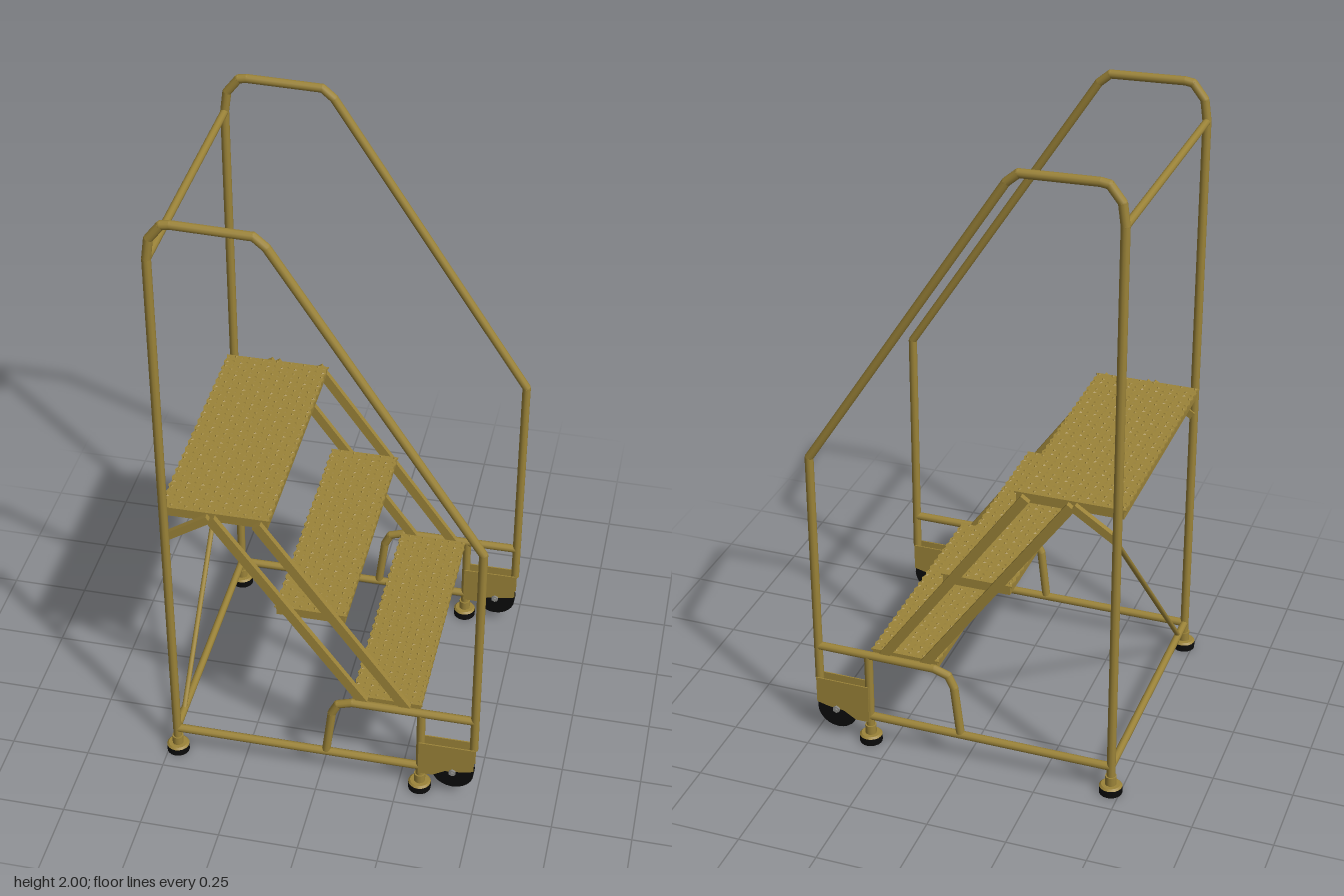
import * as THREE from 'three';
import { mergeGeometries } from 'three/addons/utils/BufferGeometryUtils.js';

const material = (name, color, side = THREE.FrontSide) => {
  const m = new THREE.MeshStandardMaterial({ color, side });
  m.name = name;
  return m;
};

export function createModel() {
  const paint = material('ochre paint', 0x9c8439);
  const rubber = material('black rubber', 0x0b0b0b);
  const steel = material('grey steel', 0x8c8c88);
  const model = new THREE.Group();
  model.name = 'rollingStairs';
  const SIDE = 0.416, R = 0.0135;
  const V = (p) => new THREE.Vector3(...p);

  const add = (parent, name, geo, mat, x = 0, y = 0, z = 0) => {
    const mesh = new THREE.Mesh(geo, mat);
    mesh.name = name;
    mesh.position.set(x, y, z);
    parent.add(mesh);
    return mesh;
  };

  // Round pipe through a list of points, with ball joints at the bends
  const pipe = (parent, name, points, r = R) => {
    const pts = points.map(V), parts = [];
    for (let i = 0; i < pts.length - 1; i++) {
      const d = pts[i + 1].clone().sub(pts[i]);
      const g = new THREE.CylinderGeometry(r, r, d.length(), 10);
      g.applyQuaternion(new THREE.Quaternion().setFromUnitVectors(
        new THREE.Vector3(0, 1, 0), d.clone().normalize()));
      g.translate(...pts[i].clone().add(pts[i + 1]).multiplyScalar(0.5).toArray());
      parts.push(g);
      if (i > 0) parts.push(new THREE.SphereGeometry(r, 10, 6).translate(...pts[i].toArray()));
    }
    return add(parent, name, mergeGeometries(parts), paint);
  };

  // Flat bar between two points in the x-y plane
  const bar = (parent, name, a, b, z, height) => {
    const dx = b[0] - a[0], dy = b[1] - a[1];
    const mesh = add(parent, name, new THREE.BoxGeometry(Math.hypot(dx, dy), height, 0.018),
      paint, (a[0] + b[0]) / 2, (a[1] + b[1]) / 2, z);
    mesh.rotation.z = Math.atan2(dy, dx);
  };

  // Grip tread: serrated top plate, raised teeth and a folded skirt
  const tread = (name, x0, x1, top) => {
    const g = new THREE.Group();
    g.name = name;
    const half = 0.397, n = 44, step = 2 * half / n, h = 0.028;
    const shape = new THREE.Shape();
    shape.moveTo(x0, -half);
    for (let i = 1; i <= n; i++) shape.lineTo(x0 + (i % 2 ? 0.006 : 0), -half + i * step);
    for (let i = n; i >= 0; i--) shape.lineTo(x1 - (i % 2 ? 0.006 : 0), -half + i * step);
    const plate = new THREE.ExtrudeGeometry(shape, { depth: 0.005, bevelEnabled: false });
    plate.rotateX(-Math.PI / 2);
    add(g, 'treadPlate', plate, paint, 0, top - 0.008, 0);

    const teeth = [];
    const cols = Math.round((x1 - x0) / 0.022), rows = 34;
    for (let i = 0; i < cols; i++) for (let j = 0; j < rows; j++) {
      const cone = new THREE.ConeGeometry(0.0065, 0.004, 3, 1, true).toNonIndexed();
      cone.computeVertexNormals();
      cone.rotateY((i % 2 ? 0 : Math.PI) + (j % 3) * 0.5);
      cone.translate(x0 + (i + 0.5) * (x1 - x0) / cols, top - 0.001,
        -half + (j + (i % 2 ? 0.35 : 0.65)) * 2 * half / rows);
      teeth.push(cone);
    }
    add(g, 'gripTeeth', mergeGeometries(teeth), paint);

    const mid = (x0 + x1) / 2, y = top - 0.005 - h / 2;
    for (const x of [x0 + 0.01, x1 - 0.01])
      add(g, 'treadSkirt', new THREE.BoxGeometry(0.008, h, 2 * half), paint, x, y, 0);
    for (const s of [-1, 1])
      add(g, 'treadEnd', new THREE.BoxGeometry(x1 - x0 - 0.012, h, 0.008), paint,
        mid, y, s * (half - 0.004));
    model.add(g);
  };
  tread('topPlatform', -0.49, -0.152, 0.99);
  tread('middleStep', -0.145, 0.08, 0.66);
  tread('bottomStep', 0.092, 0.317, 0.337);

  // Caster bracket outline
  const bracket = new THREE.Shape([[0.315, 0.21], [0.315, 0.08], [0.36, 0.08], [0.4, 0.105],
    [0.45, 0.11], [0.49, 0.12], [0.49, 0.21]].map(([x, y]) => new THREE.Vector2(x, y)));

  for (const s of [1, -1]) {
    const z = s * SIDE, side = new THREE.Group();
    side.name = s > 0 ? 'frontSideFrame' : 'backSideFrame';
    model.add(side);
    const flat = (list) => list.map(([x, y]) => [x, y, z]);

    // Handrail, post and lower frame
    pipe(side, 'handrail', flat([[-0.471, 0.04], [-0.471, 1.87], [-0.462, 1.935], [-0.425, 1.982],
      [-0.4, 1.986], [-0.17, 1.98], [-0.135, 1.95], [0.486, 0.99], [0.486, 0.2]]));
    pipe(side, 'stepSupport', flat([[0.486, 0.32], [0.1, 0.32], [0.055, 0.305],
      [0.036, 0.265], [0.017, 0.1]]));
    pipe(side, 'baseRail', flat([[-0.471, 0.093], [0.318, 0.093]]));
    pipe(side, 'frontPost', flat([[0.318, 0.04], [0.318, 0.315]]));

    // Paired stringers and platform strut
    bar(side, 'rearStringer', [-0.33, 0.975], [0.135, 0.325], s * 0.407, 0.03);
    bar(side, 'frontStringer', [-0.19, 0.975], [0.27, 0.325], s * 0.407, 0.03);
    bar(side, 'platformStrut', [-0.471, 0.885], [-0.335, 0.975], s * 0.407, 0.025);

    // Levelling feet
    for (const x of [-0.471, 0.318]) {
      add(side, 'footPad', new THREE.CylinderGeometry(0.036, 0.036, 0.024, 18), rubber, x, 0.012, z);
      add(side, 'footPlate', new THREE.CylinderGeometry(0.03, 0.036, 0.006, 18), paint, x, 0.027, z);
      add(side, 'footCollar', new THREE.CylinderGeometry(0.018, 0.018, 0.03, 12), paint, x, 0.045, z);
    }

    // Caster wheel between two bracket plates
    for (const o of [-0.018, 0.018]) {
      const g = new THREE.ExtrudeGeometry(bracket, { depth: 0.004, bevelEnabled: false });
      add(side, 'casterBracket', g, paint, 0, 0, z + o - 0.002);
    }
    add(side, 'casterWheel', new THREE.CylinderGeometry(0.066, 0.066, 0.028, 24)
      .rotateX(Math.PI / 2), rubber, 0.424, 0.102, z);
    add(side, 'axle', new THREE.CylinderGeometry(0.006, 0.006, 0.062, 10)
      .rotateX(Math.PI / 2), steel, 0.424, 0.106, z);
    for (const o of [-0.023, 0.023])
      add(side, 'axleNut', new THREE.CylinderGeometry(0.012, 0.012, 0.007, 6)
        .rotateX(Math.PI / 2), steel, 0.424, 0.106, z + o);
  }

  // Cross rails and diagonal brace at the tall end
  pipe(model, 'guardRail', [[-0.471, 1.868, -SIDE], [-0.471, 1.868, SIDE]], 0.012);
  pipe(model, 'baseCrossRail', [[-0.471, 0.093, -SIDE], [-0.471, 0.093, SIDE]], 0.012);
  pipe(model, 'diagonalBrace', [[-0.471, 0.885, -SIDE], [-0.471, 0.1, 0.33]], 0.008);

  return model;
}
